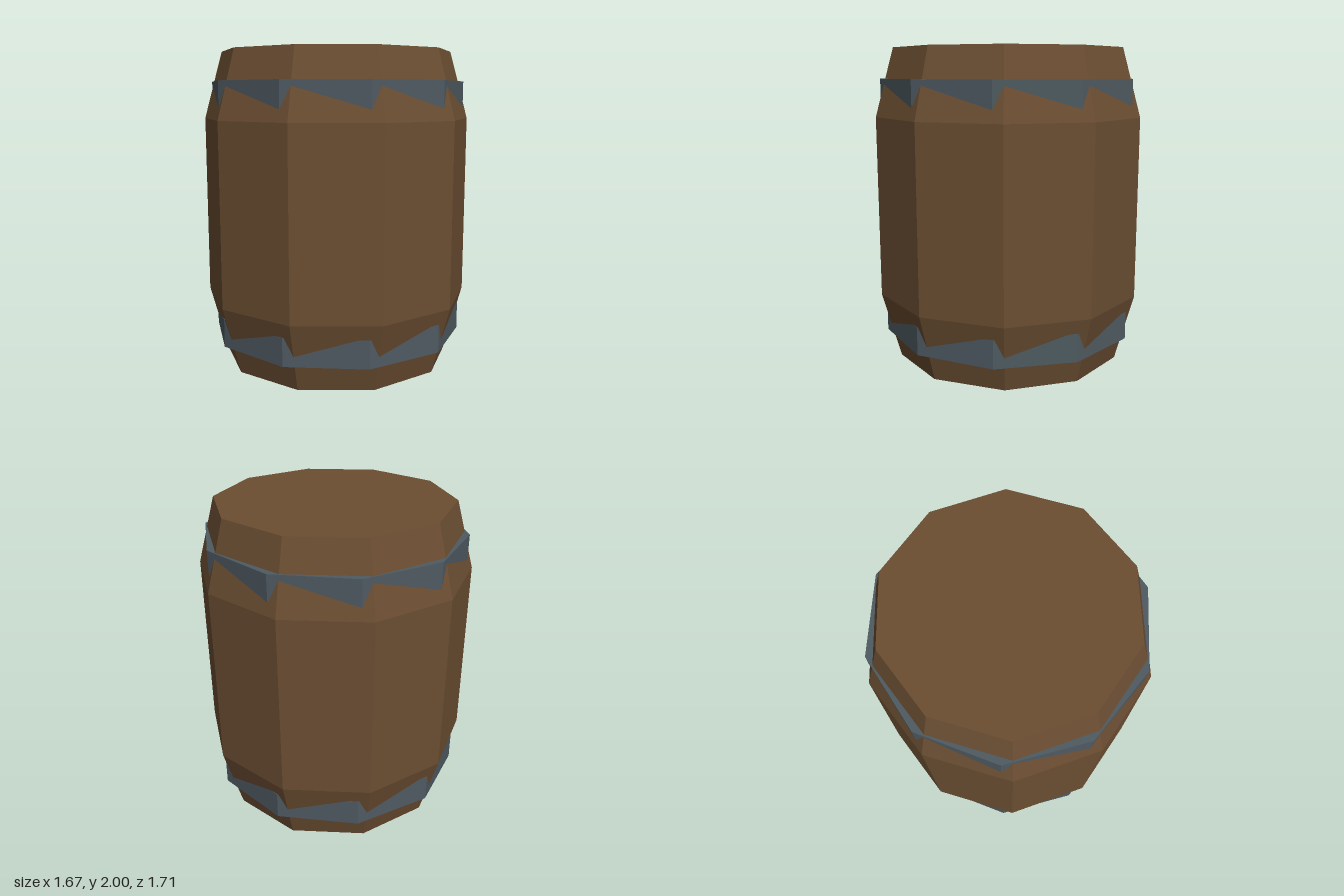
import * as THREE from 'three';

const SIDES = 10;

export function createModel() {
  const wood = new THREE.MeshStandardMaterial({ color: 0x6b4e32, flatShading: true });
  wood.name = 'brown wood';
  const iron = new THREE.MeshStandardMaterial({ color: 0x4e5a61, flatShading: true });
  iron.name = 'grey iron';

  const barrel = new THREE.Group();
  barrel.name = 'barrel';

  // Ten-sided body, tapered at both ends and closed by flat lids
  const profile = [[0, 0], [0.74, 0], [0.858, 0.43], [0.858, 1.575], [0.74, 2], [0, 2]]
    .map(([r, y]) => new THREE.Vector2(r, y));
  const twist = THREE.MathUtils.degToRad(4.4);
  const body = new THREE.Mesh(new THREE.LatheGeometry(profile, SIDES, twist), wood);
  body.name = 'body';
  barrel.add(body);

  // Straight hoops, turned slightly against the body so the staves cut through them
  const hoopHeight = 0.175;
  const addHoop = (name, bottom) => {
    const hoop = new THREE.Mesh(new THREE.CylinderGeometry(0.82, 0.82, hoopHeight, SIDES), iron);
    hoop.position.y = bottom + hoopHeight / 2;
    hoop.name = name;
    barrel.add(hoop);
  };
  addHoop('lowerHoop', 0.165);
  addHoop('upperHoop', 1.635);

  return barrel;
}
